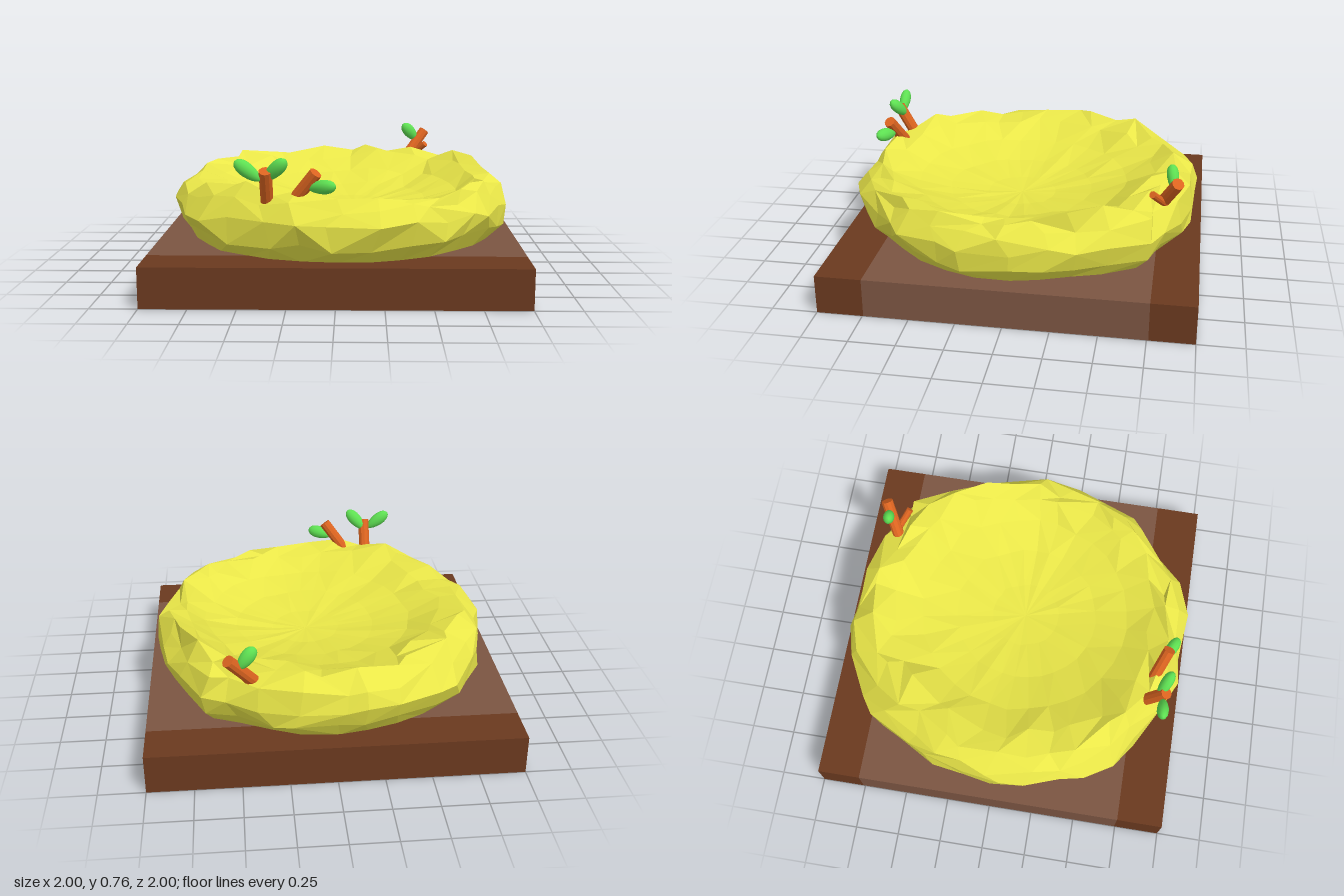
import * as THREE from 'three';

const paint = (color, flatShading = true) => new THREE.MeshStandardMaterial({ color, flatShading });

// small seeded jitter in -1..1
function makeJitter(seed) {
  let s = seed;
  return () => {
    s = (s * 16807) % 2147483647;
    return (s / 2147483647) * 2 - 1;
  };
}

// outer radius and rim height every 15 degrees, from +x towards +z
const RADII = [0.98, 0.98, 0.98, 0.98, 0.99, 0.99, 0.985, 0.98, 0.97, 0.97, 0.95, 0.93,
  0.95, 0.94, 0.95, 0.97, 0.95, 0.96, 0.96, 0.98, 0.95, 1.02, 0.95, 0.95];
const RIM = [0.53, 0.53, 0.55, 0.54, 0.53, 0.51, 0.53, 0.57, 0.59, 0.57, 0.55, 0.53,
  0.53, 0.55, 0.56, 0.57, 0.56, 0.55, 0.56, 0.61, 0.56, 0.58, 0.6, 0.57];

// value of a ring table at turn t in 0..1
function sample(table, t) {
  const f = t * table.length, i = Math.floor(f);
  return THREE.MathUtils.lerp(table[i % table.length], table[(i + 1) % table.length], f - i);
}

function nestGeometry() {
  const n = 32, jitter = makeJitter(4177);
  const cx = 0.09, cz = 0.04;
  // [radius scale, height, share of rim height, roughness, pull towards bowl centre]
  const rings = [
    [0.9, 0.212, 0, 0.012, 0],
    [0.975, 0.3, 0, 0.02, 0],
    [1, 0.41, 0, 0.028, 0],
    [0.955, 0.36, 0.25, 0.03, 0],
    [0.865, 0, 1, 0.032, 0.2],
    [0.77, -0.03, 1, 0.028, 0.5],
    [0.62, 0.29, 0.3, 0.008, 0.8],
    [0.42, 0.35, 0.1, 0.006, 1],
    [0.2, 0.365, 0.02, 0.003, 1],
  ];
  const pos = [], index = [];
  for (const [scale, y, rimShare, rough, pull] of rings) {
    for (let i = 0; i < n; i++) {
      const t = i / n;
      const a = t * Math.PI * 2 + jitter() * rough * 2.2;
      const r = sample(RADII, t) * scale + jitter() * rough;
      const lift = y > 0.25 || rimShare ? jitter() * rough : 0;
      pos.push(Math.cos(a) * r + cx * pull, y + sample(RIM, t) * rimShare + lift, Math.sin(a) * r + cz * pull);
    }
  }
  for (let k = 0; k < rings.length - 1; k++) {
    for (let i = 0; i < n; i++) {
      const j = (i + 1) % n;
      const a = k * n + i, b = k * n + j, c = a + n, d = b + n;
      // vary the diagonal for a rougher look
      if ((i + k) % 3) index.push(a, c, b, b, c, d);
      else index.push(a, c, d, a, d, b);
    }
  }
  // bowl centre
  const last = (rings.length - 1) * n;
  pos.push(cx, 0.365, cz);
  for (let i = 0; i < n; i++) index.push(last + i, last + n, last + (i + 1) % n);
  const g = new THREE.BufferGeometry();
  g.setAttribute('position', new THREE.Float32BufferAttribute(pos, 3));
  g.setIndex(index);
  g.computeVertexNormals();
  return g;
}

// places a y-aligned mesh between two points
function between(mesh, from, to) {
  const a = new THREE.Vector3(...from), b = new THREE.Vector3(...to);
  mesh.position.copy(a).add(b).multiplyScalar(0.5);
  mesh.quaternion.setFromUnitVectors(new THREE.Vector3(0, 1, 0), b.sub(a).normalize());
  return mesh;
}

const span = (a, b) => new THREE.Vector3(...a).distanceTo(new THREE.Vector3(...b));

function twig(from, to, radius, material) {
  const g = new THREE.CylinderGeometry(radius, radius, span(from, to), 10);
  const mesh = between(new THREE.Mesh(g, material), from, to);
  mesh.name = 'twig';
  return mesh;
}

// teardrop leaf, wider towards its far end
function leaf(from, to, material) {
  const g = new THREE.SphereGeometry(1, 14, 10);
  const p = g.attributes.position, half = span(from, to) / 2;
  for (let i = 0; i < p.count; i++) {
    const t = p.getY(i), w = 0.038 * (1 + 0.2 * t);
    p.setXYZ(i, p.getX(i) * w, t * half, p.getZ(i) * w * 0.85);
  }
  g.computeVertexNormals();
  const mesh = between(new THREE.Mesh(g, material), from, to);
  mesh.name = 'leaf';
  return mesh;
}

export function createModel() {
  const model = new THREE.Group();
  model.name = 'nest';
  const darkWood = paint(0x6a391f), paleWood = paint(0x7b5542);
  const straw = paint(0xe9e648), bark = paint(0xdc6420), green = paint(0x5ee052, false);

  // base slab in three strips
  const slab = new THREE.Group();
  slab.name = 'base';
  for (const [z0, z1, mat] of [[-1, -0.76, darkWood], [-0.76, 0.745, paleWood], [0.745, 1, darkWood]]) {
    const strip = new THREE.Mesh(new THREE.BoxGeometry(2, 0.217, z1 - z0), mat);
    strip.position.set(0, 0.1085, (z0 + z1) / 2);
    strip.name = 'baseStrip';
    slab.add(strip);
  }
  model.add(slab);

  // straw bowl
  const bowl = new THREE.Mesh(nestGeometry(), straw);
  bowl.name = 'strawBowl';
  model.add(bowl);

  // twigs with their leaves
  const sprigs = [
    {
      name: 'frontRightSprig',
      twigs: [[[-0.355, 0.51, 0.79], [-0.355, 0.69, 0.89], 0.034]],
      leaves: [[[-0.38, 0.64, 0.88], [-0.51, 0.74, 0.88]], [[-0.36, 0.64, 0.85], [-0.25, 0.75, 0.91]]],
    },
    {
      name: 'frontMiddleSprig',
      twigs: [[[-0.23, 0.51, 0.82], [-0.1, 0.68, 0.88], 0.034]],
      leaves: [[[-0.14, 0.6, 0.86], [0.0, 0.62, 0.93]]],
    },
    {
      name: 'backSprig',
      twigs: [[[0.42, 0.51, -0.78], [0.55, 0.68, -0.86], 0.034], [[0.44, 0.51, -0.8], [0.55, 0.61, -0.73], 0.02]],
      leaves: [[[0.5, 0.62, -0.84], [0.41, 0.73, -0.82]]],
    },
  ];
  for (const s of sprigs) {
    const group = new THREE.Group();
    group.name = s.name;
    s.twigs.forEach((t) => group.add(twig(...t, bark)));
    s.leaves.forEach((l) => group.add(leaf(...l, green)));
    model.add(group);
  }
  return model;
}
